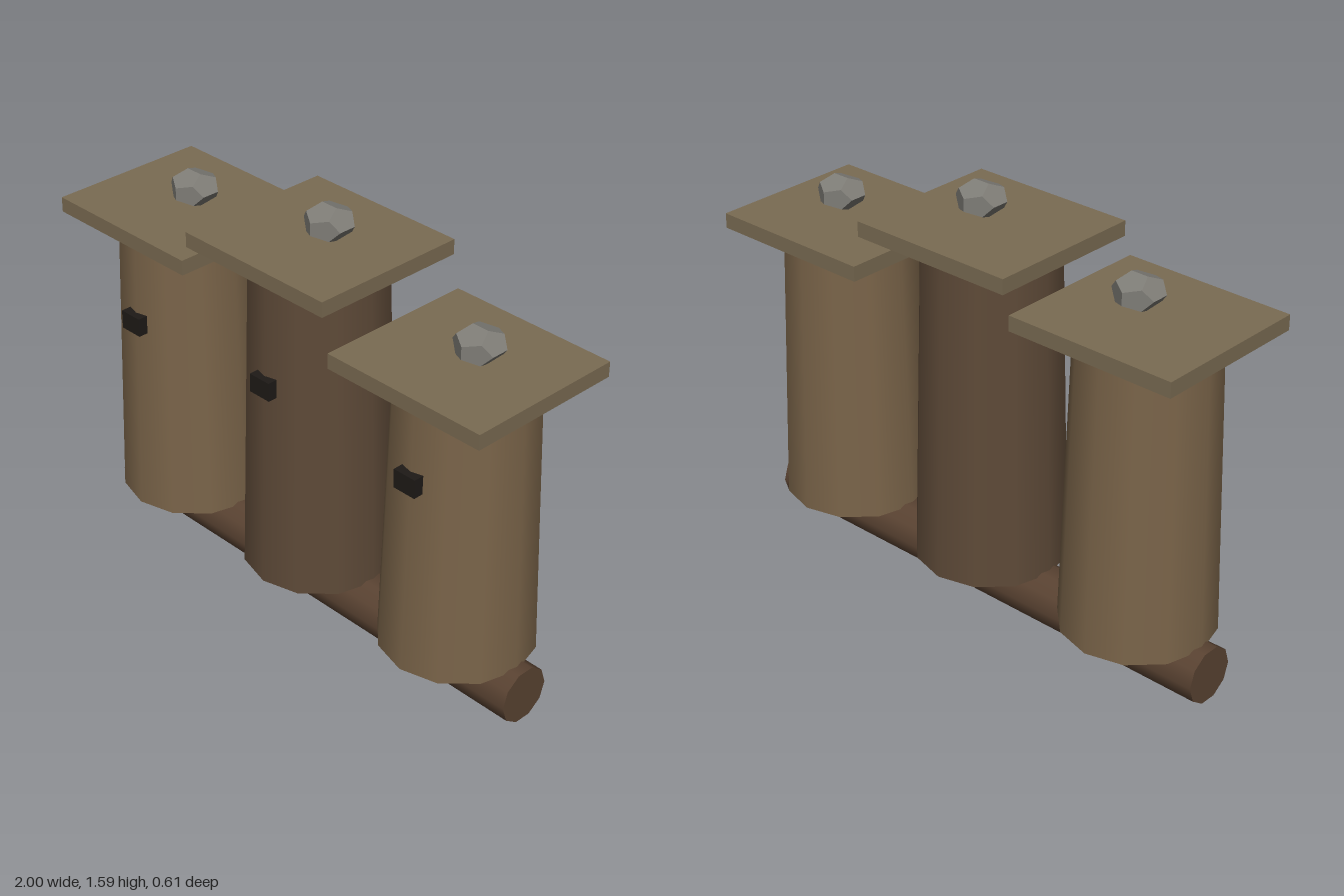
import * as THREE from 'three';

const material = (color, flatShading = false) => new THREE.MeshStandardMaterial({ color, flatShading });

export function createModel() {
  const model = new THREE.Group();
  model.name = 'logHives';

  const lightBark = material(0x7a6449);
  const darkBark = material(0x5e4a38);
  const logWood = material(0x5a4332);
  const plank = material(0x7a6b52);
  const hole = material(0x1e1a17);
  const rock = material(0x7f7d77, true);

  const add = (parent, name, geometry, mat, x, y, z) => {
    const mesh = new THREE.Mesh(geometry, mat);
    mesh.name = name;
    mesh.position.set(x, y, z);
    parent.add(mesh);
    return mesh;
  };

  // Log lying under the hives
  const log = add(model, 'supportLog', new THREE.CylinderGeometry(0.105, 0.105, 1.98, 10), logWood, 0, 0.1, 0);
  log.rotation.z = Math.PI / 2;

  // Three tapered hives, each with a roof board, a weight stone and an entrance
  const base = 0.185;
  const hives = [
    { name: 'rightHive', x: -0.675, top: 1.29, entranceY: 0.957, bark: lightBark },
    { name: 'middleHive', x: 0, top: 1.408, entranceY: 0.994, bark: darkBark },
    { name: 'leftHive', x: 0.675, top: 1.233, entranceY: 0.94, bark: lightBark },
  ];
  for (const { name, x, top, entranceY, bark } of hives) {
    const hive = new THREE.Group();
    hive.name = name;
    hive.position.x = x;
    model.add(hive);

    const height = top - base;
    add(hive, 'trunk', new THREE.CylinderGeometry(0.245, 0.278, height, 12), bark, 0, base + height / 2, 0);
    add(hive, 'roofBoard', new THREE.BoxGeometry(0.65, 0.056, 0.605), plank, 0, top + 0.028, 0);
    add(hive, 'entrance', new THREE.BoxGeometry(0.092, 0.07, 0.04), hole, 0, entranceY, 0.26);
    const stone = add(hive, 'weightStone', new THREE.DodecahedronGeometry(0.092), rock, 0.045, top + 0.126, 0);
    stone.scale.y = 0.7;
  }

  return model;
}
